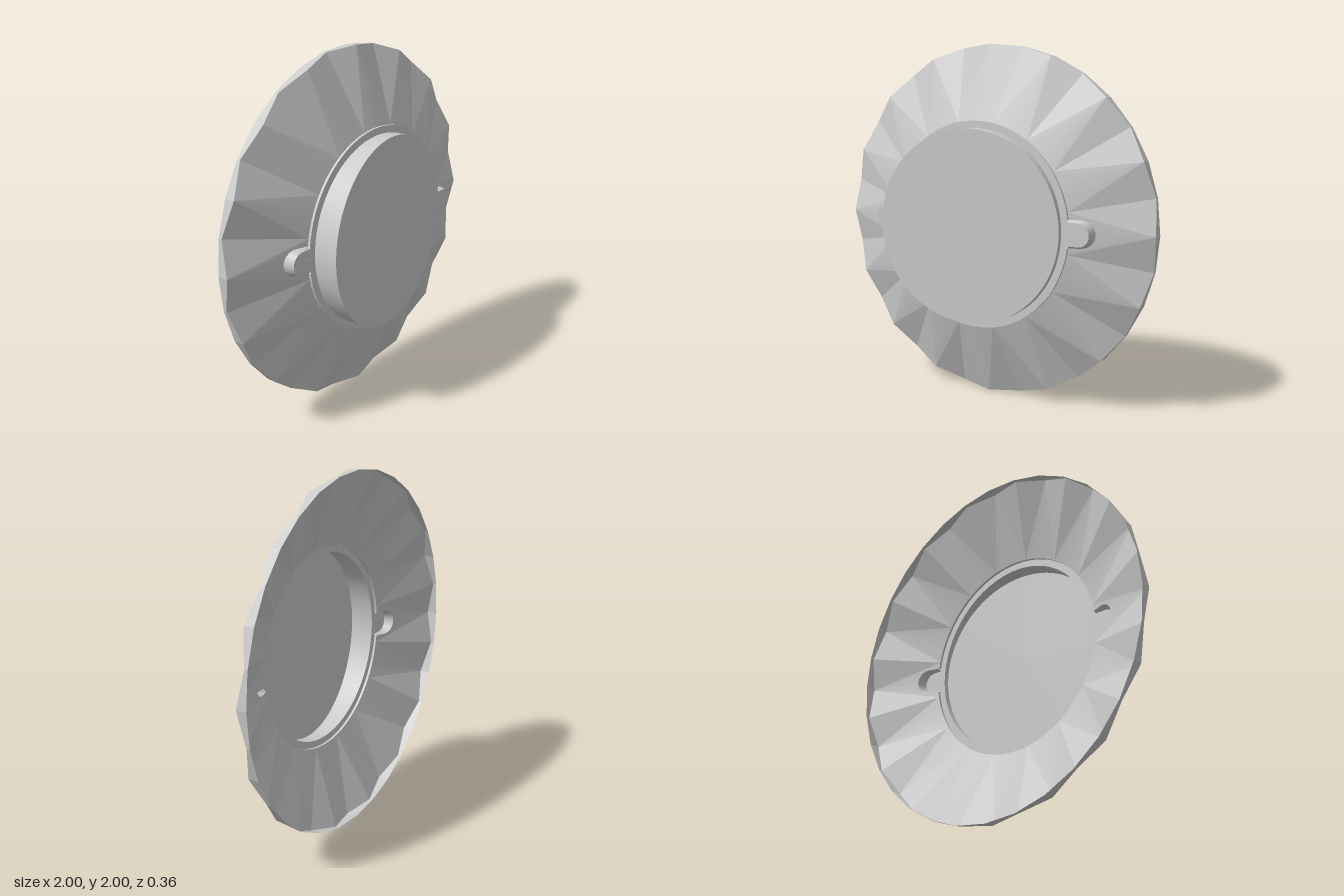
import * as THREE from 'three';

const N = 32;            // rim corners
const R = 1;             // rim radius
const RI = 0.58;         // collar radius
const RC = 0.54;         // drum radius
const Z_RING = 0.032;    // front of the flat collar
const Z_IN = 0.018;      // inner edge of the pleats
const Z_PEAK = -0.125, Z_VALLEY = -0.165, Z_BACK = -0.185;
const STEP = (Math.PI * 2) / N;
const TAB_W = 0.075, TAB_X = 0.635;

const polar = (r, a, z) => [r * Math.cos(a), r * Math.sin(a), z];

const grey = (flatShading) => new THREE.MeshStandardMaterial({
  color: 0xcccccc, side: THREE.DoubleSide, flatShading,
});

function named(name, geometry, flat = false) {
  const mesh = new THREE.Mesh(geometry, grey(flat));
  mesh.name = name;
  return mesh;
}

function fromTriangles(points) {
  const g = new THREE.BufferGeometry();
  g.setAttribute('position', new THREE.Float32BufferAttribute(points.flat(), 3));
  g.computeVertexNormals();
  return g;
}

const quad = (a, b, c, d) => [a, b, c, a, c, d];

// Outline of a finger tab: straight sides leaving the collar, round end
function tabOutline(inset) {
  const w = TAB_W - inset;
  const a = Math.asin(w / RI);
  const pts = [new THREE.Vector2(RI * Math.cos(a), -w)];
  for (let i = 0; i <= 20; i++) {
    const t = -Math.PI / 2 + (Math.PI * i) / 20;
    pts.push(new THREE.Vector2(TAB_X + w * Math.cos(t), w * Math.sin(t)));
  }
  pts.push(new THREE.Vector2(RI * Math.cos(a), w));
  return pts;
}

function collarArc(from, to, n = 8) {
  const pts = [];
  for (let i = 0; i <= n; i++) {
    const a = from + ((to - from) * i) / n;
    pts.push(new THREE.Vector2(RI * Math.cos(a), RI * Math.sin(a)));
  }
  return pts;
}

// Height of the pleat fan that runs from the rim peak at (R, 0) to the collar
function fanHeight(x, y) {
  const dx = x - R, dy = y, d = Math.hypot(dx, dy);
  if (d < 1e-6) return Z_PEAK;
  const b = (R * dx) / d;
  const reach = -b - Math.sqrt(Math.max(0, b * b - (R * R - RI * RI)));
  return Z_PEAK + (Z_IN - Z_PEAK) * Math.min(1, d / reach);
}

// Pleats: a fan at each peak, and a flat triangle on either side of each valley
function pleats() {
  const tris = [];
  for (let k = 0; k < N; k += 2) {
    const a = k * STEP;
    const peak = polar(R, a, Z_PEAK);
    if (k % (N / 2) !== 0) {
      for (let i = 0; i < 8; i++) {
        const a0 = a - STEP + (STEP * i) / 4;
        tris.push(peak, polar(RI, a0 + STEP / 4, Z_IN), polar(RI, a0, Z_IN));
      }
    }
    const v0 = polar(R, a - STEP, Z_VALLEY), v1 = polar(R, a + STEP, Z_VALLEY);
    tris.push(v0, peak, polar(RI, a - STEP, Z_IN));
    tris.push(peak, v1, polar(RI, a + STEP, Z_IN));
  }
  return fromTriangles(tris);
}

// Zigzag-fronted band around the rim
function rimBand() {
  const tris = [];
  const zAt = (k) => (k % 2 ? Z_VALLEY : Z_PEAK);
  for (let k = 0; k < N; k++) {
    const a = k * STEP, b = a + STEP;
    tris.push(...quad(polar(R, a, Z_BACK), polar(R, b, Z_BACK),
      polar(R, b, zAt(k + 1)), polar(R, a, zAt(k))));
  }
  return fromTriangles(tris);
}

// Raised, hollow finger tab with the pleat around it
function fingerTab() {
  const g = new THREE.Group();
  g.name = 'fingerTab';
  const base = tabOutline(0), top = tabOutline(0.012);

  const a = Math.asin(TAB_W / RI);
  const pleat = new THREE.ShapeGeometry(new THREE.Shape([
    new THREE.Vector2(R, 0),
    ...collarArc(STEP, a, 4),
    ...base.slice(1, -1).reverse(),
    ...collarArc(-a, -STEP, 4),
  ]));
  const p = pleat.attributes.position;
  for (let i = 0; i < p.count; i++) p.setZ(i, fanHeight(p.getX(i), p.getY(i)));
  pleat.computeVertexNormals();
  g.add(named('tabPleat', pleat, true));

  const wall = [];
  for (let i = 0; i < base.length - 1; i++) {
    const [b0, b1, t0, t1] = [base[i], base[i + 1], top[i], top[i + 1]];
    wall.push(...quad([b0.x, b0.y, fanHeight(b0.x, b0.y)], [b1.x, b1.y, fanHeight(b1.x, b1.y)],
      [t1.x, t1.y, Z_RING], [t0.x, t0.y, Z_RING]));
  }
  g.add(named('tabWall', fromTriangles(wall)));

  const c = Math.asin((TAB_W - 0.012) / RI);
  const cap = new THREE.ShapeGeometry(new THREE.Shape([...top, ...collarArc(c, -c).slice(1, -1)]));
  cap.translate(0, 0, Z_RING);
  g.add(named('tabCap', cap));
  return g;
}

// Step between the pleats and the collar, open at the two tabs
function collarStep() {
  const tris = [], a = Math.asin(TAB_W / RI), n = 48;
  for (const start of [0, Math.PI]) {
    for (let i = 0; i < n; i++) {
      const a0 = start + a + ((Math.PI - 2 * a) * i) / n;
      const a1 = start + a + ((Math.PI - 2 * a) * (i + 1)) / n;
      tris.push(...quad(polar(RI, a0, Z_IN), polar(RI, a1, Z_IN),
        polar(RI, a1, Z_RING), polar(RI, a0, Z_RING)));
    }
  }
  return fromTriangles(tris);
}

const slant = (x) => 0.117 - 0.104 * x;

export function createModel() {
  const model = new THREE.Group();
  model.name = 'pleatedDisc';

  model.add(named('pleats', pleats(), true));
  model.add(named('rimBand', rimBand(), true));
  model.add(named('collarStep', collarStep()));

  const collar = new THREE.RingGeometry(RC, RI, 96);
  collar.translate(0, 0, Z_RING);
  model.add(named('collar', collar));

  // Drum cut off at a slant
  const drum = new THREE.CylinderGeometry(RC, RC, 1, 96, 1, true);
  drum.rotateX(Math.PI / 2);
  const d = drum.attributes.position;
  for (let i = 0; i < d.count; i++) d.setZ(i, d.getZ(i) > 0 ? slant(d.getX(i)) : Z_RING);
  model.add(named('drumWall', drum));

  const face = new THREE.CircleGeometry(RC, 96);
  const f = face.attributes.position;
  for (let i = 0; i < f.count; i++) f.setZ(i, slant(f.getX(i)));
  face.computeVertexNormals();
  model.add(named('drumFace', face));

  for (const turn of [0, Math.PI]) {
    const tab = fingerTab();
    tab.rotation.z = turn;
    model.add(tab);
  }

  model.position.y = 1;
  const root = new THREE.Group();
  root.add(model);
  return root;
}
